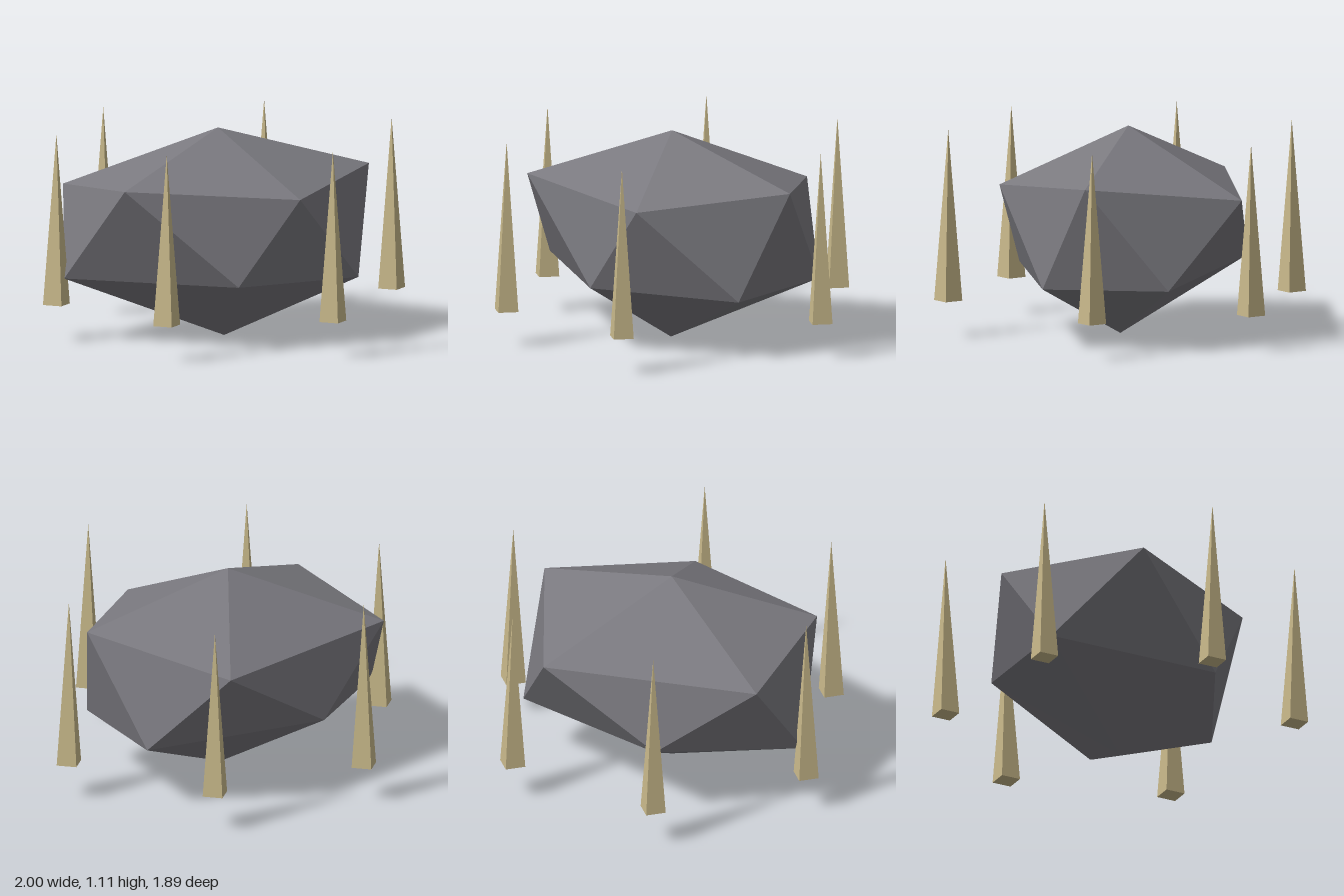
import * as THREE from 'three';

const rockGrey = new THREE.MeshStandardMaterial({ color: 0x7a797f, flatShading: true });
rockGrey.name = 'rock grey';
const spikeTan = new THREE.MeshStandardMaterial({ color: 0xc8b88a, flatShading: true });
spikeTan.name = 'spike tan';

// Faceted boulder: two offset rings of five corners, closed by a top and a bottom point
function makeRock() {
  const top = [-0.05, 1.11, -0.05];
  const bottom = [-0.03, 0, -0.01];
  const upper = [
    [0.77, 0.885, 0.04], [0.17, 0.81, 0.605], [-0.72, 0.862, 0.33],
    [-0.78, 0.79, -0.44], [0.35, 0.785, -0.73],
  ];
  const lower = [
    [0.615, 0.322, 0.295], [-0.16, 0.35, 0.555], [-0.89, 0.335, -0.13],
    [-0.28, 0.4, -0.65], [0.66, 0.335, -0.39],
  ];
  const corners = [];
  for (let i = 0; i < 5; i++) {
    const j = (i + 1) % 5;
    corners.push(
      top, upper[j], upper[i],
      upper[i], upper[j], lower[i],
      upper[j], lower[j], lower[i],
      bottom, lower[i], lower[j],
    );
  }
  const geometry = new THREE.BufferGeometry();
  geometry.setAttribute('position', new THREE.Float32BufferAttribute(corners.flat(), 3));
  geometry.computeVertexNormals();
  const rock = new THREE.Mesh(geometry, rockGrey);
  rock.name = 'rock';
  return rock;
}

// Ring of floating four-sided spikes
function makeSpikes() {
  const spikes = new THREE.Group();
  spikes.name = 'spikes';
  const base = 0.195, height = 0.915;
  const geometry = new THREE.ConeGeometry(0.076, height, 4);
  const places = [
    [0.923, -0.025], [0.257, 0.865], [-0.613, 0.678],
    [-0.924, -0.157], [-0.392, -0.869], [0.494, -0.805],
  ];
  places.forEach(([x, z], i) => {
    const spike = new THREE.Mesh(geometry, spikeTan);
    spike.name = `spike${i + 1}`;
    spike.position.set(x, base + height / 2, z);
    spikes.add(spike);
  });
  return spikes;
}

export function createModel() {
  const model = new THREE.Group();
  model.name = 'spikedRock';
  model.add(makeRock(), makeSpikes());
  return model;
}
